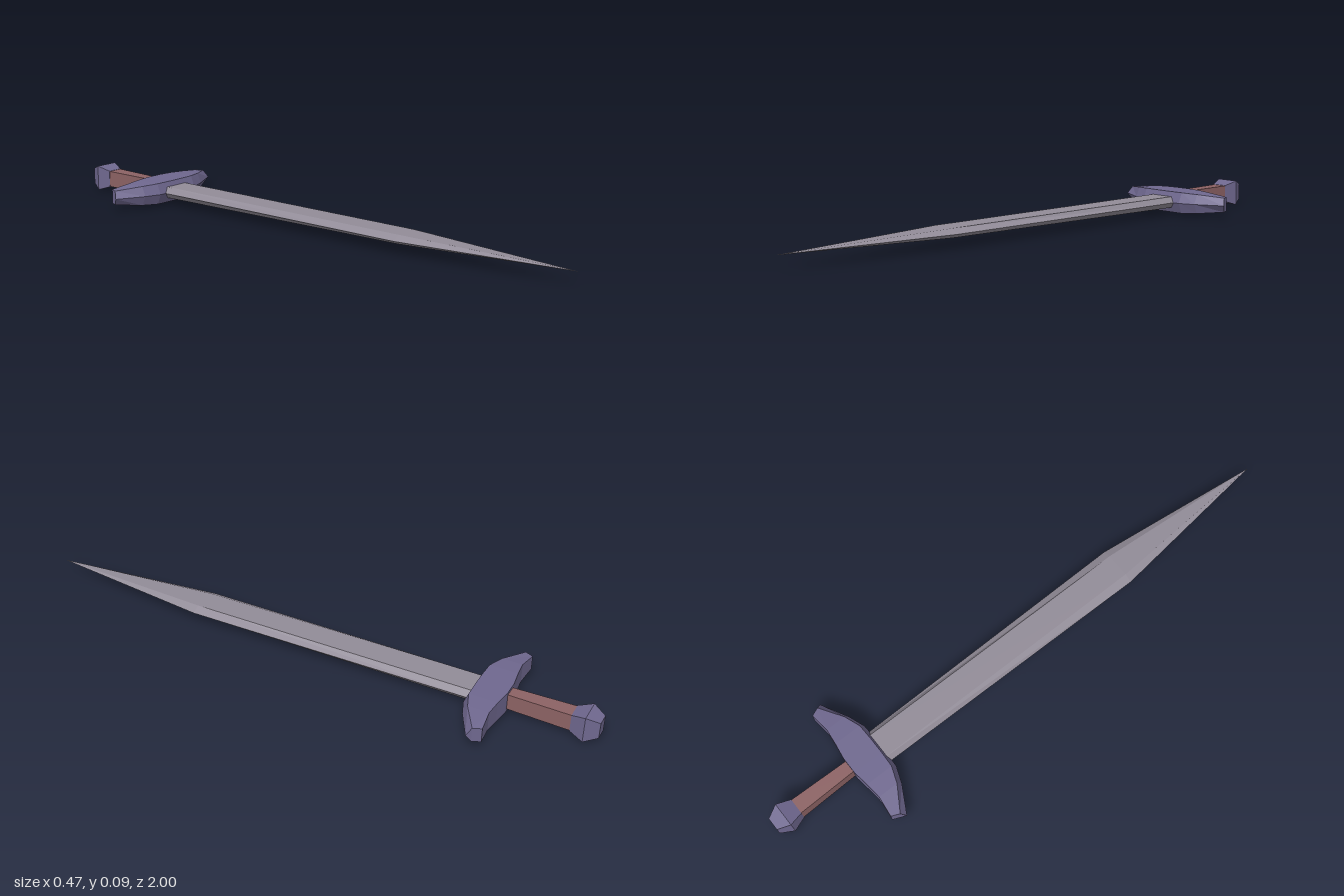
import * as THREE from 'three';

const CY = 0.045; // height of the sword's middle plane

// Skins a list of equal-length closed rings, with flat caps at both ends.
function loft(name, rings, material) {
  const pos = [];
  const n = rings[0].length;
  const tri = (...pts) => pts.forEach(([x, y, z]) => pos.push(x, y + CY, z));
  for (let i = 0; i < rings.length - 1; i++) {
    for (let j = 0; j < n; j++) {
      const k = (j + 1) % n;
      const a = rings[i][j], b = rings[i][k], c = rings[i + 1][k], d = rings[i + 1][j];
      tri(a, b, c);
      tri(a, c, d);
    }
  }
  const first = rings[0], last = rings[rings.length - 1];
  for (let j = 1; j < n - 1; j++) {
    tri(first[0], first[j + 1], first[j]);
    tri(last[0], last[j], last[j + 1]);
  }
  const g = new THREE.BufferGeometry();
  g.setAttribute('position', new THREE.Float32BufferAttribute(pos, 3));
  g.computeVertexNormals(); // unshared corners give flat facets
  const mesh = new THREE.Mesh(g, material);
  mesh.name = name;
  return mesh;
}

// Cross-sections across the length of the sword
const rect = (z, w, h) => [[w, -h, z], [w, h, z], [-w, h, z], [-w, -h, z]];
const hex = (z, w, flat, h) => [
  [w, 0, z], [flat, h, z], [-flat, h, z], [-w, 0, z], [-flat, -h, z], [flat, -h, z],
];

export function createModel() {
  const steel = new THREE.MeshStandardMaterial({ color: 0x928c98 });
  steel.name = 'steel';
  const violet = new THREE.MeshStandardMaterial({ color: 0x6f688f });
  violet.name = 'violetMetal';
  const leather = new THREE.MeshStandardMaterial({ color: 0x8c6264 });
  leather.name = 'leather';

  const sword = new THREE.Group();
  sword.name = 'sword';

  // Blade: flattened hexagon that swells slightly, then tapers to a point
  sword.add(loft('blade', [
    hex(-0.64, 0.06, 0.044, 0.02),
    hex(0.41, 0.07, 0.042, 0.015),
    hex(1, 0.0005, 0.0003, 0.0003),
  ], steel));

  // Crossguard: sections along x [x, front z, back z, half height, end slant]
  const half = [
    [0.03, -0.583, -0.704, 0.037, 0],
    [0.085, -0.585, -0.696, 0.037, 0],
    [0.14, -0.605, -0.69, 0.034, 0],
    [0.222, -0.655, -0.698, 0.025, 0.012],
  ];
  const section = (s) => ([x, f, b, h, slant]) => [
    [s * x, h, f - 0.015],
    [s * (x + slant), 0, f],
    [s * x, -h, f - 0.015],
    [s * (x - slant), -h, b],
    [s * (x - slant), h, b],
  ];
  sword.add(loft('crossguard',
    [...half.slice().reverse().map(section(-1)), ...half.map(section(1))], violet));

  // Grip
  sword.add(loft('grip', [rect(-0.92, 0.027, 0.029), rect(-0.69, 0.021, 0.027)], leather));

  // Pommel: square block, widest near its end
  sword.add(loft('pommel', [
    rect(-1, 0.022, 0.028),
    rect(-0.957, 0.042, 0.045),
    rect(-0.91, 0.028, 0.03),
  ], violet));

  return sword;
}
